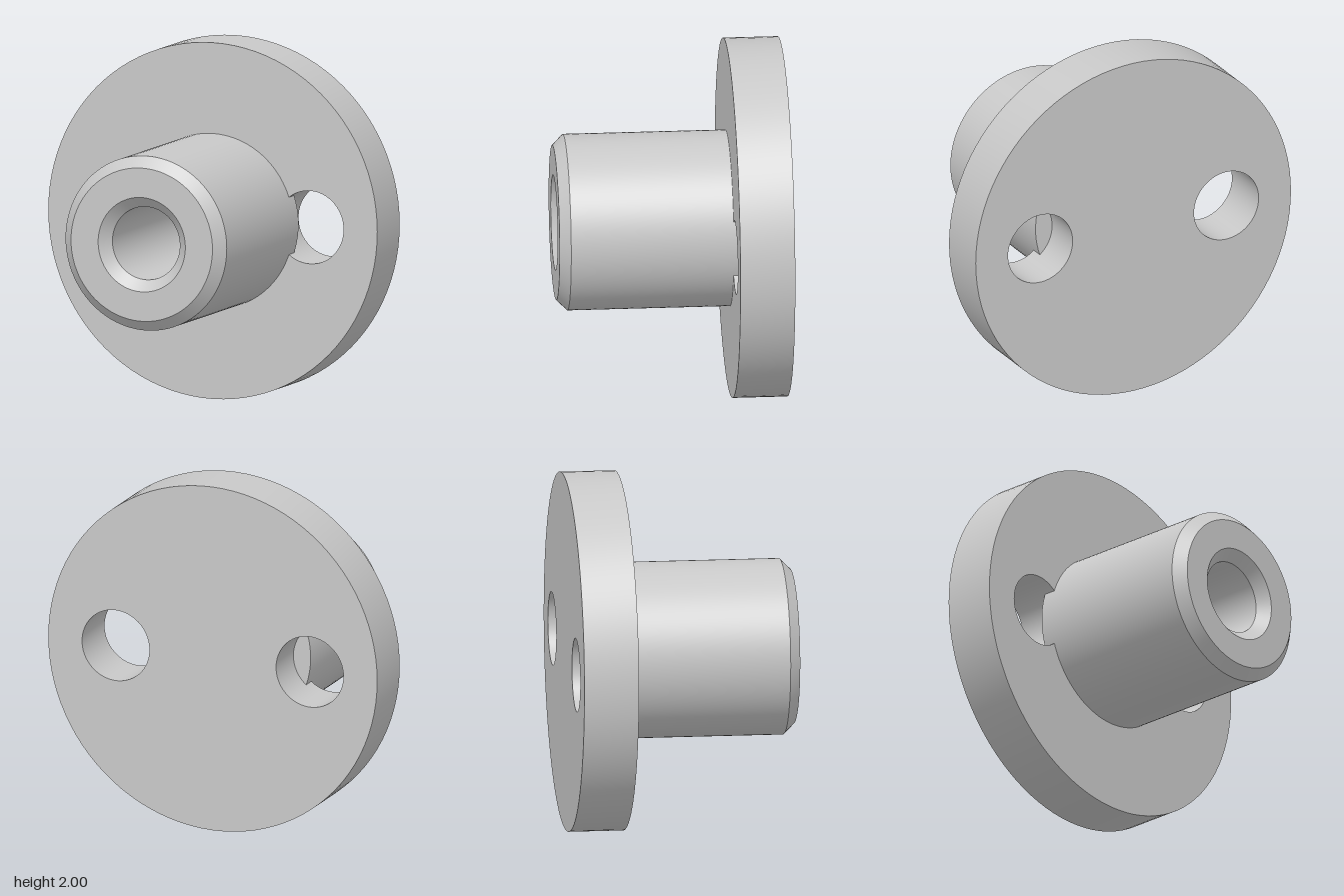
import * as THREE from 'three';
import { toCreasedNormals } from 'three/addons/utils/BufferGeometryUtils.js';

const FLANGE_BACK = -0.635, FLANGE_FRONT = -0.33, BOSS_FRONT = 0.635;
const BOSS_R = 0.49, BORE_R = 0.205, CHAMFER = 0.06, EMBED = 0.07;
const HOLE_R = 0.205, HOLE_X = 0.59;

export function createModel() {
  const steel = new THREE.MeshStandardMaterial({ color: 0xc8c8c8 });
  steel.name = 'lightGrey';

  const model = new THREE.Group();
  model.name = 'flangedBushing';

  // Round flange with two through holes
  const disc = new THREE.Shape().absarc(0, 0, 1, 0, Math.PI * 2, false);
  for (const side of [-1, 1]) {
    disc.holes.push(new THREE.Path().absarc(side * HOLE_X, 0, HOLE_R, 0, Math.PI * 2, true));
  }
  const flangeGeometry = new THREE.ExtrudeGeometry(disc, {
    depth: FLANGE_FRONT - FLANGE_BACK, bevelEnabled: false, curveSegments: 48,
  });
  const flange = new THREE.Mesh(toCreasedNormals(flangeGeometry, 0.4), steel);
  flange.name = 'flange';
  flange.position.set(0, 1, FLANGE_BACK);
  model.add(flange);

  // Chamfered boss with a blind bore; its root is sunk slightly into the flange
  const root = FLANGE_FRONT - EMBED;
  const profile = [
    [BORE_R, root],
    [BOSS_R, root],
    [BOSS_R, BOSS_FRONT - CHAMFER],
    [BOSS_R - CHAMFER, BOSS_FRONT],
    [BORE_R + CHAMFER, BOSS_FRONT],
    [BORE_R, BOSS_FRONT - CHAMFER],
    [BORE_R, root],
  ].map(([r, z]) => new THREE.Vector2(r, z));
  const bossGeometry = new THREE.LatheGeometry(profile, 96).rotateX(Math.PI / 2);
  const boss = new THREE.Mesh(toCreasedNormals(bossGeometry, 0.4), steel);
  boss.name = 'boss';
  boss.position.y = 1;
  model.add(boss);

  return model;
}
